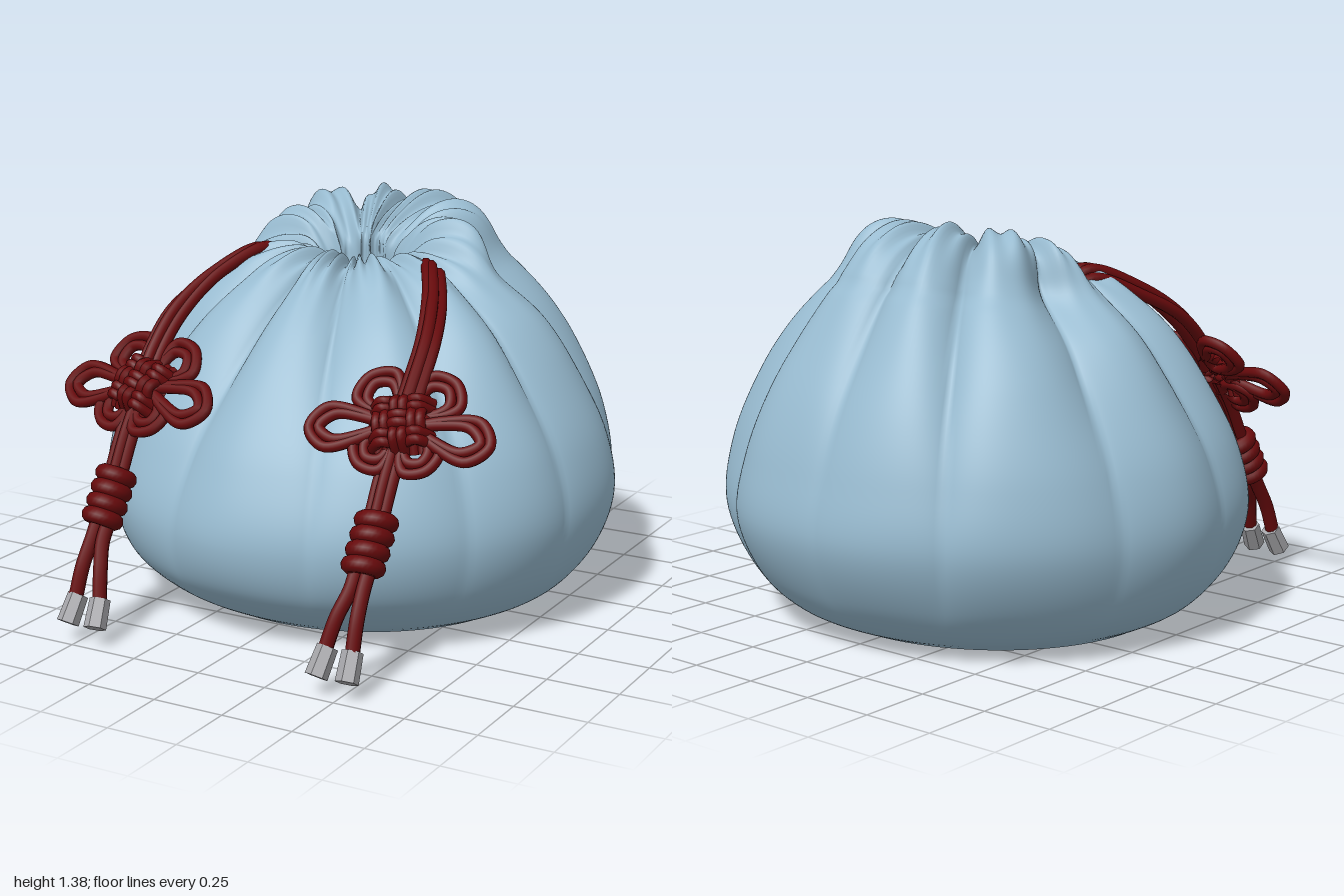
import * as THREE from 'three';

const V = (x, y, z) => new THREE.Vector3(x, y, z);
const mat = (name, color) => {
  const m = new THREE.MeshStandardMaterial({ color });
  m.name = name;
  return m;
};
const cloth = mat('blueCloth', 0x98bbd0);
const cordRed = mat('redCord', 0x66090b);
const metal = mat('silverMetal', 0xa6a6aa);

function add(parent, name, geometry, material) {
  const m = new THREE.Mesh(geometry, material);
  m.name = name;
  parent.add(m);
  return m;
}
function rope(parent, name, points, radius = 0.019, closed = false) {
  const curve = new THREE.CatmullRomCurve3(points, closed);
  return add(parent, name, new THREE.TubeGeometry(curve, points.length * 7, radius, 8, closed), cordRed);
}

// Profiles (radius, height) from the base edge up and into the mouth
const meridian = (pts) => new THREE.CatmullRomCurve3(pts.map(([r, y]) => V(r, y, 0)));
const FRONT = meridian([[.57, 0], [.71, .075], [.84, .2], [.88, .37], [.8, .6], [.67, .8], [.5, 1], [.36, 1.12],
  [.27, 1.18], [.19, 1.2], [.13, 1.19], [.09, 1.16], [.08, 1.1], [0, 1.09]]);
const SIDE = meridian([[.61, 0], [.75, .075], [.85, .2], [.905, .39], [.87, .6], [.77, .8], [.63, 1], [.5, 1.11],
  [.4, 1.17], [.29, 1.2], [.2, 1.2], [.15, 1.16], [.13, 1.1], [0, 1.09]]);
const BACK = meridian([[.57, 0], [.71, .065], [.83, .19], [.915, .39], [.885, .6], [.815, .8], [.7, 1], [.56, 1.2],
  [.46, 1.3], [.33, 1.345], [.19, 1.31], [.09, 1.24], [.08, 1.1], [0, 1.09]]);
const LAST = 13;
const CZ = -0.08;

const bell = (s, centre, width) => Math.exp(-(((s - centre) / width) ** 2));
const clamp01 = (v) => Math.min(1, Math.max(0, v));

function bagPoint(s, t) {
  const c = Math.cos(t);
  const wf = c > 0 ? c * c : 0, wb = c < 0 ? c * c : 0;
  const p = V(0, 0, 0);
  [[FRONT, wf], [SIDE, 1 - wf - wb], [BACK, wb]].forEach(([m, w]) => p.addScaledVector(m.getPoint(s / LAST), w));
  // Broad rounded folds with narrow valleys, then fine gathers at the mouth
  const warp = t - 0.04 * Math.sin(3 * t) + 0.03 * Math.sin(5 * t + 1) + 0.015 * Math.sin(s * 0.9 + 2 * t);
  const depth = 0.85 + 0.2 * Math.sin(3 * t + 2);
  const lobe = depth * (Math.pow(Math.abs(Math.cos(5.5 * warp)) + 0.02, 0.75) - 0.7);
  const soft = Math.sin(5 * t + 0.8) * 0.5 + Math.sin(13 * t + 2 + s * 0.4) * 0.5;
  const fine = Math.sin(34 * t + 2 * Math.sin(4 * t) + s * 0.3);
  const rise = clamp01((s - 1.5) / 4) * clamp01((12 - s) / 2);
  const gather = bell(s, 9.8, 1.8) * clamp01(12 - s);
  p.x += rise * (0.075 * lobe + 0.013 * soft) + 0.045 * lobe * bell(s, 7, 1.6) + 0.008 * fine * gather;
  p.y += lobe * bell(s, 8.8, 1.7) * (0.05 + 0.06 * wb) + 0.015 * fine * gather * (1 + 0.5 * wf);
  // Puffed collar around the back half, pinched underneath at the sides
  const collar = (1 - wb) / (1 + Math.exp(16 * (c + 0.1)));
  p.y += 0.12 * collar * bell(s, 8.9, 1.4);
  p.x += collar * (0.03 * bell(s, 8.6, 0.7) - 0.045 * bell(s, 7.1, 0.7));
  // Stitched channel seam across the back
  p.x -= 0.008 * bell(s, 6.9, 0.1) * wb;
  const r = Math.max(0, p.x);
  return [Math.sin(t) * r, p.y, Math.cos(t) * r + CZ];
}

function bagGeometry() {
  const cols = 288, rows = 104, pos = [], idx = [];
  for (let i = 0; i <= rows; i++)
    for (let j = 0; j < cols; j++) pos.push(...bagPoint((i / rows) * LAST, (j / cols) * Math.PI * 2));
  for (let i = 0; i < rows; i++)
    for (let j = 0; j < cols; j++) {
      const k = (j + 1) % cols;
      const a = i * cols + j, b = i * cols + k, d = a + cols, e = b + cols;
      idx.push(a, b, e, a, e, d);
    }
  const g = new THREE.BufferGeometry();
  g.setAttribute('position', new THREE.Float32BufferAttribute(pos, 3));
  g.setIndex(idx);
  g.computeVertexNormals();
  return g;
}

// Doubled cord loop pointing out from the knot centre
function knotLoop(parent, name, angle, length, width, z) {
  for (const inset of [0, 0.033]) {
    const L = length - inset, W = width / 2 - inset * 0.8;
    const pts = [[.06, 0], [L * .5, W * .75], [L * .82, W], [L, 0], [L * .82, -W], [L * .5, -W * .75]]
      .map(([x, y]) => V(x, y, z).applyAxisAngle(V(0, 0, 1), angle));
    rope(parent, name, pts, 0.019, true);
  }
}

function flowerKnot(side) {
  const g = new THREE.Group();
  g.name = 'flowerKnot';
  const deg = Math.PI / 180;
  for (const m of [1, -1]) {
    const turn = (a) => (m > 0 ? a : 180 - a) * deg;
    knotLoop(g, 'wideLoop', turn(-8), 0.31, 0.14, 0);
    knotLoop(g, 'upperLoop', turn(48), 0.22, 0.15, -0.01);
    knotLoop(g, 'lowerLoop', turn(-52), 0.185, 0.13, -0.01);
  }
  // Basket-woven centre of doubled strands
  const weave = new THREE.Group();
  weave.name = 'wovenCentre';
  weave.rotation.z = side * 0.2;
  g.add(weave);
  for (const across of [0, 1])
    for (let i = -1; i <= 1; i++)
      for (const o of [-0.014, 0.014]) {
        const v = i * 0.058 + o;
        const pts = [-0.1, -0.058, 0, 0.058, 0.1].map((u, j) => {
          const over = (i + j + across) % 2 === 0 ? 1 : -1;
          const z = j === 0 || j === 4 ? -0.02 : 0.035 + over * 0.016 - 2 * (u * u + v * v);
          return across ? V(v, u, z) : V(u, v, z);
        });
        rope(weave, 'wovenStrand', pts, 0.018);
      }
  g.position.set(side * 0.5, 0.79, 0.56);
  g.rotation.set(-0.7, side * 0.13, 0, 'YXZ');
  return g;
}

function drawstring(side) {
  const g = new THREE.Group();
  g.name = side > 0 ? 'leftDrawstring' : 'rightDrawstring';
  // Three strands from the mouth to the knot, and on to the wrapped knot
  for (const k of [-1, 0, 1]) {
    const o = k * 0.025, lift = k === 0 ? 0.012 : 0;
    rope(g, 'upperCord', [[.3, 1.13, -.03], [.335, 1.185, .03], [.43, 1.115, .2], [.485, 1.015, .35], [.5, .9, .47], [.5, .8, .55]]
      .map(([x, y, z], i) => V(side * (x + o), y + lift + (i < 3 ? -o * 0.6 : 0), z + lift)), 0.021);
    rope(g, 'middleCord', [[.5, .76, .57], [.5, .65, .65], [.5, .5, .735]]
      .map(([x, y, z]) => V(side * (x + o), y, z + lift)), 0.02);
  }
  g.add(flowerKnot(side));
  // Wrapped barrel knot
  const wrap = new THREE.Group();
  wrap.name = 'barrelKnot';
  wrap.position.set(side * 0.5, 0.45, 0.765);
  wrap.rotation.x = -0.6;
  for (let i = 0; i < 4; i++) {
    const ring = add(wrap, 'wrapTurn', new THREE.TorusGeometry(0.044, 0.029, 10, 28), cordRed);
    ring.rotation.set(Math.PI / 2 + 0.08, side * 0.08, 0);
    ring.position.y = (i - 1.5) * 0.05;
  }
  add(wrap, 'wrapCore', new THREE.CylinderGeometry(0.045, 0.045, 0.2, 16), cordRed);
  g.add(wrap);
  // Two tails with faceted metal ends
  for (const [x0, x1] of [[0.475, 0.43], [0.52, 0.53]]) {
    rope(g, 'tailCord', [V(side * x0, 0.4, 0.79), V(side * x0, 0.32, 0.845),
      V(side * (x0 + x1) / 2, 0.24, 0.893), V(side * x1, 0.13, 0.935)], 0.025);
    const end = new THREE.CylinderGeometry(0.035, 0.038, 0.1, 6).toNonIndexed();
    end.computeVertexNormals();
    const tip = add(g, 'cordEnd', end, metal);
    tip.position.set(side * x1, 0.105, 0.948);
    tip.rotation.set(-0.55, 0, side * (x1 > 0.5 ? 0.08 : -0.12));
  }
  return g;
}

export function createModel() {
  const model = new THREE.Group();
  model.name = 'drawstringPouch';
  add(model, 'pouchBody', bagGeometry(), cloth);
  const base = add(model, 'pouchBase', new THREE.CircleGeometry(0.57, 96), cloth);
  base.rotation.x = Math.PI / 2;
  base.scale.x = 0.61 / 0.57;
  base.position.z = CZ;
  for (const side of [1, -1]) model.add(drawstring(side));
  return model;
}
